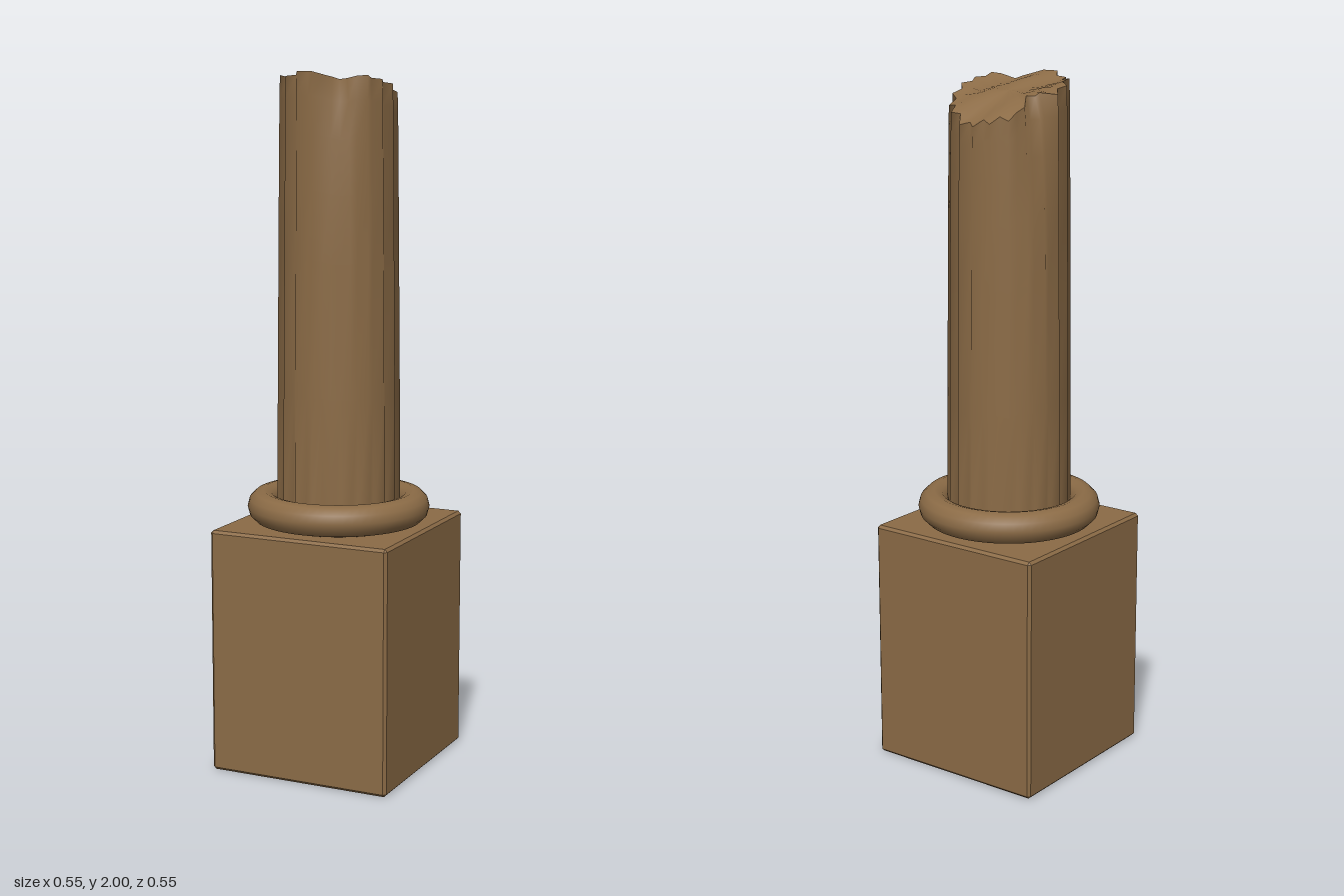
import * as THREE from 'three';
import { ConvexGeometry } from 'three/addons/geometries/ConvexGeometry.js';

const FLUTES = 20;
const SEGMENTS = FLUTES * 2;

// Closed surface made of stacked rings; point(a, i, row) gives each vertex
function ringSurface(rows, point) {
  const positions = [];
  const index = [];
  rows.forEach((row, j) => {
    for (let i = 0; i < SEGMENTS; i++) {
      positions.push(...point((i / SEGMENTS) * Math.PI * 2, i, row));
      if (j === rows.length - 1) continue;
      const next = (i + 1) % SEGMENTS;
      const a = j * SEGMENTS + i, b = j * SEGMENTS + next;
      const c = a + SEGMENTS, d = b + SEGMENTS;
      index.push(a, c, b, b, c, d);
    }
  });
  const geometry = new THREE.BufferGeometry();
  geometry.setAttribute('position', new THREE.Float32BufferAttribute(positions, 3));
  geometry.setIndex(index);
  geometry.computeVertexNormals();
  return geometry;
}

// Box with all edges cut at 45 degrees, standing on y = 0
function chamferedBox(w, h, c) {
  const points = [];
  for (const sx of [-1, 1]) for (const sy of [-1, 1]) for (const sz of [-1, 1]) {
    for (let k = 0; k < 3; k++) {
      const inset = [c, c, c];
      inset[k] = 0;
      points.push(new THREE.Vector3(
        sx * (w / 2 - inset[0]), h / 2 + sy * (h / 2 - inset[1]), sz * (w / 2 - inset[2])));
    }
  }
  return new ConvexGeometry(points);
}

// Strength of the two chips in the broken rim, by angle
function chip(a) {
  const bump = (deg, width) => {
    const d = (THREE.MathUtils.radToDeg(a) - deg) / width;
    return Math.exp(-(d ** 4));
  };
  return bump(63, 14) + bump(202, 16);
}

// Height of the slanted, broken end
function breakHeight(x, z) {
  const back = Math.min(z, 0);
  return Math.min(2, 1.96 + 0.24 * z - 1.8 * back * back + 0.006 * Math.sin(x * 45 + z * 20));
}

// Rim point: sharp flute ridges alternate with grooves
function rimPoint(a, i) {
  const r = (i % 2 ? 0.148 : 0.166) - 0.045 * chip(a);
  const x = Math.cos(a) * r, z = Math.sin(a) * r;
  return [x, breakHeight(x, z), z];
}

export function createModel() {
  const model = new THREE.Group();
  const stone = new THREE.MeshStandardMaterial({ color: 0x8b6b46 });
  stone.name = 'brownStone';

  const add = (name, geometry) => {
    const mesh = new THREE.Mesh(geometry, stone);
    mesh.name = name;
    model.add(mesh);
    return mesh;
  };

  // Square pedestal
  add('pedestal', chamferedBox(0.55, 0.712, 0.008));

  // Rounded base ring
  const ring = add('baseRing', new THREE.TorusGeometry(0.218, 0.046, 12, 64));
  ring.rotation.x = Math.PI / 2;
  ring.position.y = 0.759;

  // Fluted shaft: [fraction of height, ridge radius, chip depth]
  const shaftRows = [
    [0, 0.18, 0], [0.3, 0.177, 0], [0.6, 0.173, 0], [0.75, 0.171, 0.002],
    [0.87, 0.169, 0.012], [0.95, 0.168, 0.022], [1, 0.166, 0.045],
  ];
  add('flutedShaft', ringSurface(shaftRows, (a, i, [t, ridge, depth]) => {
    const r = ridge - (i % 2 ? 0.018 : 0) - depth * chip(a);
    return [Math.cos(a) * r, THREE.MathUtils.lerp(0.712, rimPoint(a, i)[1], t), Math.sin(a) * r];
  }));

  // Broken top surface, from the rim to the centre
  add('brokenTop', ringSurface([1, 0.85, 0.6, 0.3, 0], (a, i, s) => {
    const [rx, ry, rz] = rimPoint(a, i);
    const x = rx * s, z = rz * s;
    return [x, s === 1 ? ry : breakHeight(x, z) - 0.004, z];
  }));

  return model;
}
